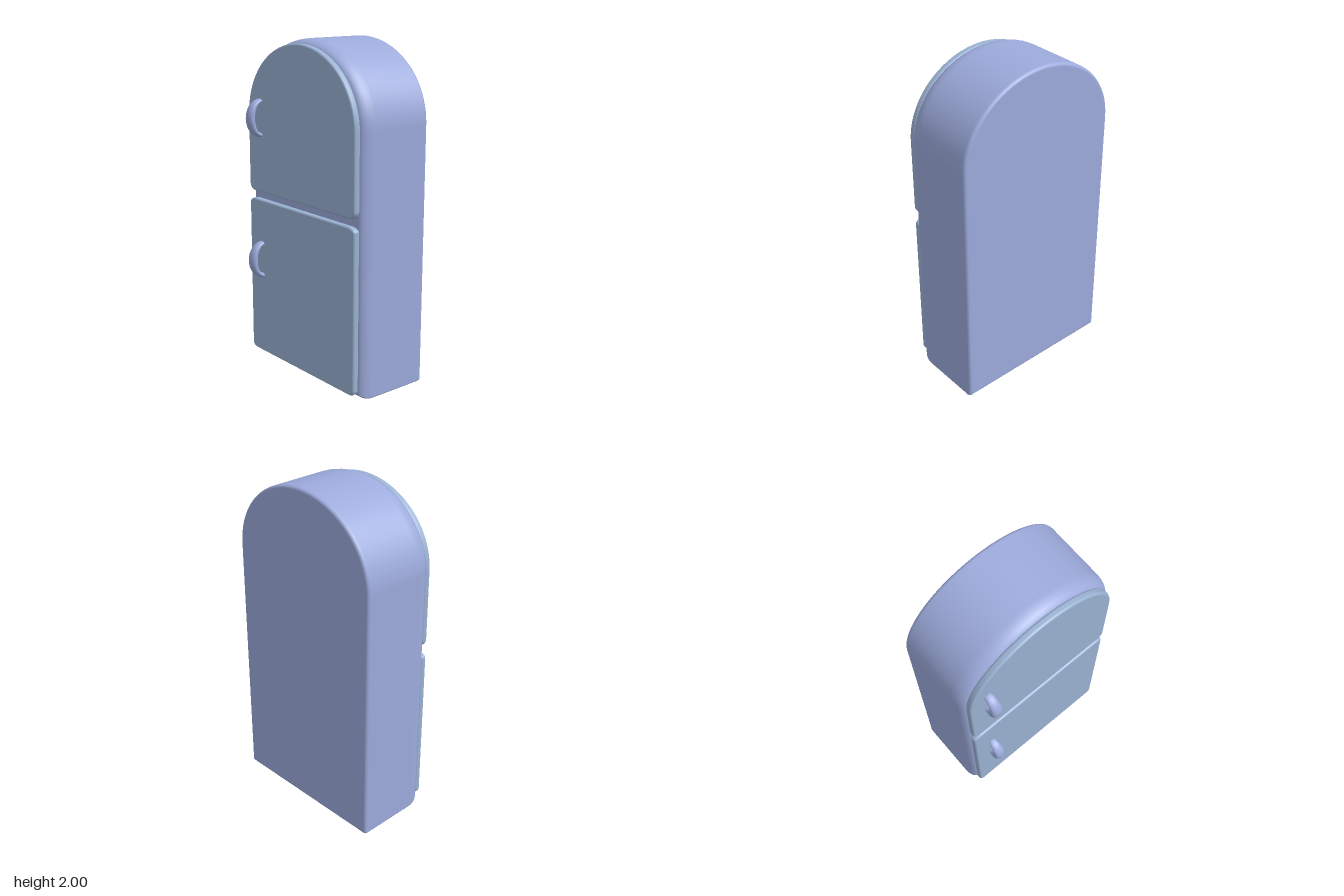
import * as THREE from 'three';

const bodyMat = new THREE.MeshStandardMaterial({ color: 0x9dabdc });
const doorMat = new THREE.MeshStandardMaterial({ color: 0x9bb3d4 });

// Skin rows of equal-length point loops and close both ends with fans.
function loft(rings) {
  const n = rings[0].length, pos = [], index = [];
  rings.forEach(r => r.forEach(p => pos.push(...p)));
  for (let j = 0; j < rings.length - 1; j++) {
    for (let k = 0; k < n; k++) {
      const a = j * n + k, b = j * n + (k + 1) % n;
      index.push(a, b, b + n, a, b + n, a + n);
    }
  }
  [0, rings.length - 1].forEach(j => {
    const c = pos.length / 3;
    for (let i = 0; i < 3; i++) pos.push(rings[j].reduce((s, p) => s + p[i], 0) / n);
    for (let k = 0; k < n; k++) {
      const a = j * n + k, b = j * n + (k + 1) % n;
      if (j === 0) index.push(c, b, a); else index.push(c, a, b);
    }
  });
  const g = new THREE.BufferGeometry();
  g.setAttribute('position', new THREE.Float32BufferAttribute(pos, 3));
  g.setIndex(index);
  g.computeVertexNormals();
  return g;
}

// Counter-clockwise panel outline; the top corners may be large ellipses.
function outline({ w, y0, y1, rb, rx, ry }, inset, z) {
  const W = w - inset, lo = y0 + inset, hi = y1 - inset;
  const b = Math.max(rb - inset, 0.008);
  const tx = Math.max(rx - inset, 0.008), ty = Math.max(ry - inset, 0.008);
  const corners = [
    [W - b, lo + b, b, b, -0.5, 6], [W - tx, hi - ty, tx, ty, 0, 20],
    [tx - W, hi - ty, tx, ty, 0.5, 20], [b - W, lo + b, b, b, 1, 6],
  ];
  const pts = [];
  for (const [cx, cy, ax, ay, start, seg] of corners) {
    for (let i = 0; i <= seg; i++) {
      if (rx === w && start === 0.5 && i === 0) continue; // arch apex is shared
      const t = (start + 0.5 * i / seg) * Math.PI;
      pts.push([cx + ax * Math.cos(t), cy + ay * Math.sin(t), z]);
    }
  }
  return pts;
}

// Panel with elliptical rounding: [inset, depth] at its back and front edges.
function panel(shape, zBack, zFront, [bi, bd], [fi, fd]) {
  const steps = 6, rings = [outline(shape, bi + 0.006, zBack)];
  for (let i = 0; i <= steps; i++) {
    const t = i / steps * Math.PI / 2;
    rings.push(outline(shape, bi * (1 - Math.sin(t)), zBack + bd * (1 - Math.cos(t))));
  }
  for (let i = 0; i <= steps; i++) {
    const t = i / steps * Math.PI / 2;
    rings.push(outline(shape, fi * (1 - Math.cos(t)), zFront - fd * (1 - Math.sin(t))));
  }
  rings.push(outline(shape, fi + 0.006, zFront));
  return loft(rings);
}

// Crescent grip, thick in the middle and tapering into the door.
function handleGeometry() {
  const rings = [], steps = 24, sides = 16;
  for (let i = 0; i <= steps; i++) {
    const t = (i / steps - 0.5) * Math.PI * 1.08;
    const outer = [0.115 * Math.sin(t), 0.095 * Math.cos(t)];
    const inner = [0.088 * Math.sin(t), 0.048 * Math.cos(t)];
    const width = 0.024 + 0.010 * Math.max(Math.cos(t), 0);
    const ring = [];
    for (let k = 0; k < sides; k++) {
      const a = k / sides * Math.PI * 2, m = (1 + Math.cos(a)) / 2;
      ring.push([
        width * Math.sin(a),
        inner[0] + (outer[0] - inner[0]) * m,
        inner[1] + (outer[1] - inner[1]) * m,
      ]);
    }
    rings.push(ring);
  }
  return loft(rings);
}

export function createModel() {
  const group = new THREE.Group();
  const add = (name, geometry, material, x = 0, y = 0, z = 0) => {
    const mesh = new THREE.Mesh(geometry, material);
    mesh.name = name;
    mesh.position.set(x, y, z);
    group.add(mesh);
  };

  // Arched cabinet with a softer front edge
  const cabinet = { w: 0.52, y0: 0.005, y1: 2, rb: 0.012, rx: 0.52, ry: 0.46 };
  add('cabinet', panel(cabinet, -0.30, 0.17, [0.018, 0.022], [0.045, 0.09]), bodyMat);

  // Doors
  const edge = [0.012, 0.014];
  const upper = { w: 0.49, y0: 1.065, y1: 1.975, rb: 0.045, rx: 0.49, ry: 0.44 };
  const lower = { w: 0.49, y0: 0.035, y1: 1.02, rb: 0.035, rx: 0.06, ry: 0.03 };
  add('upperDoor', panel(upper, 0.165, 0.208, edge, edge), doorMat);
  add('lowerDoor', panel(lower, 0.165, 0.208, edge, edge), doorMat);

  // Handles
  const grip = handleGeometry();
  add('upperHandle', grip, bodyMat, -0.37, 1.52, 0.205);
  add('lowerHandle', grip, bodyMat, -0.37, 0.645, 0.205);
  return group;
}
